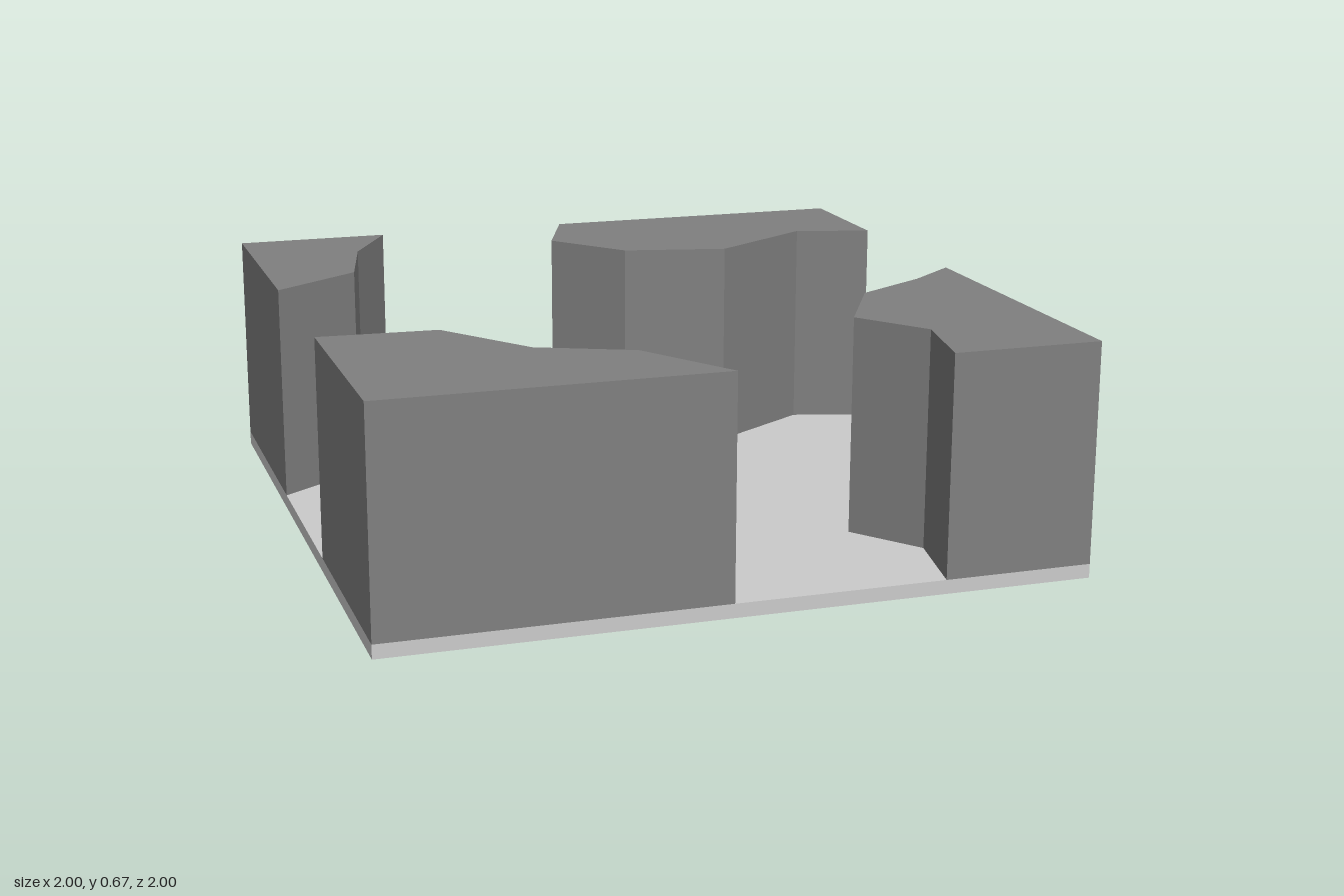
import * as THREE from 'three';

const FLOOR = 0.04; // top of the floor slab
const TOP = 0.67; // top of the rock blocks

// Plan outlines as [x, z] corners
const OUTLINES = {
  backRightRock: [[-1, -1], [-0.54, -1], [-0.67, -0.76], [-0.74, -0.46], [-1, -0.28]],
  backLeftRock: [[1, -1], [0.06, -1], [-0.04, -0.74], [0.14, -0.52], [0.45, -0.45], [0.775, -0.65], [1, -0.585]],
  frontLeftRock: [[1, 1], [1, 0.02], [0.85, 0.14], [0.625, 0.27], [0.475, 0.545], [0.62, 0.74], [0.57, 1]],
  frontRightRock: [[-1, 1], [-1, 0.32], [-0.66, 0.34], [-0.47, 0.605], [-0.21, 0.72], [-0.035, 1]],
};

// Upright prism over a plan outline
function makePrism(outline, bottom, top) {
  const shape = new THREE.Shape(outline.map(([x, z]) => new THREE.Vector2(x, -z)));
  const geometry = new THREE.ExtrudeGeometry(shape, { depth: top - bottom, bevelEnabled: false });
  return geometry.rotateX(-Math.PI / 2).translate(0, bottom, 0);
}

export function createModel() {
  const model = new THREE.Group();
  model.name = 'crossroadsTile';

  // Square floor slab
  const floor = new THREE.Mesh(
    new THREE.BoxGeometry(2, FLOOR, 2).translate(0, FLOOR / 2, 0),
    new THREE.MeshStandardMaterial({ color: 0xcccccc }),
  );
  floor.name = 'floor';
  model.add(floor);

  // Four rock blocks, one in each corner, leaving the passages open
  const rock = new THREE.MeshStandardMaterial({ color: 0x808080, flatShading: true });
  for (const [name, outline] of Object.entries(OUTLINES)) {
    const block = new THREE.Mesh(makePrism(outline, FLOOR, TOP), rock);
    block.name = name;
    model.add(block);
  }
  return model;
}
